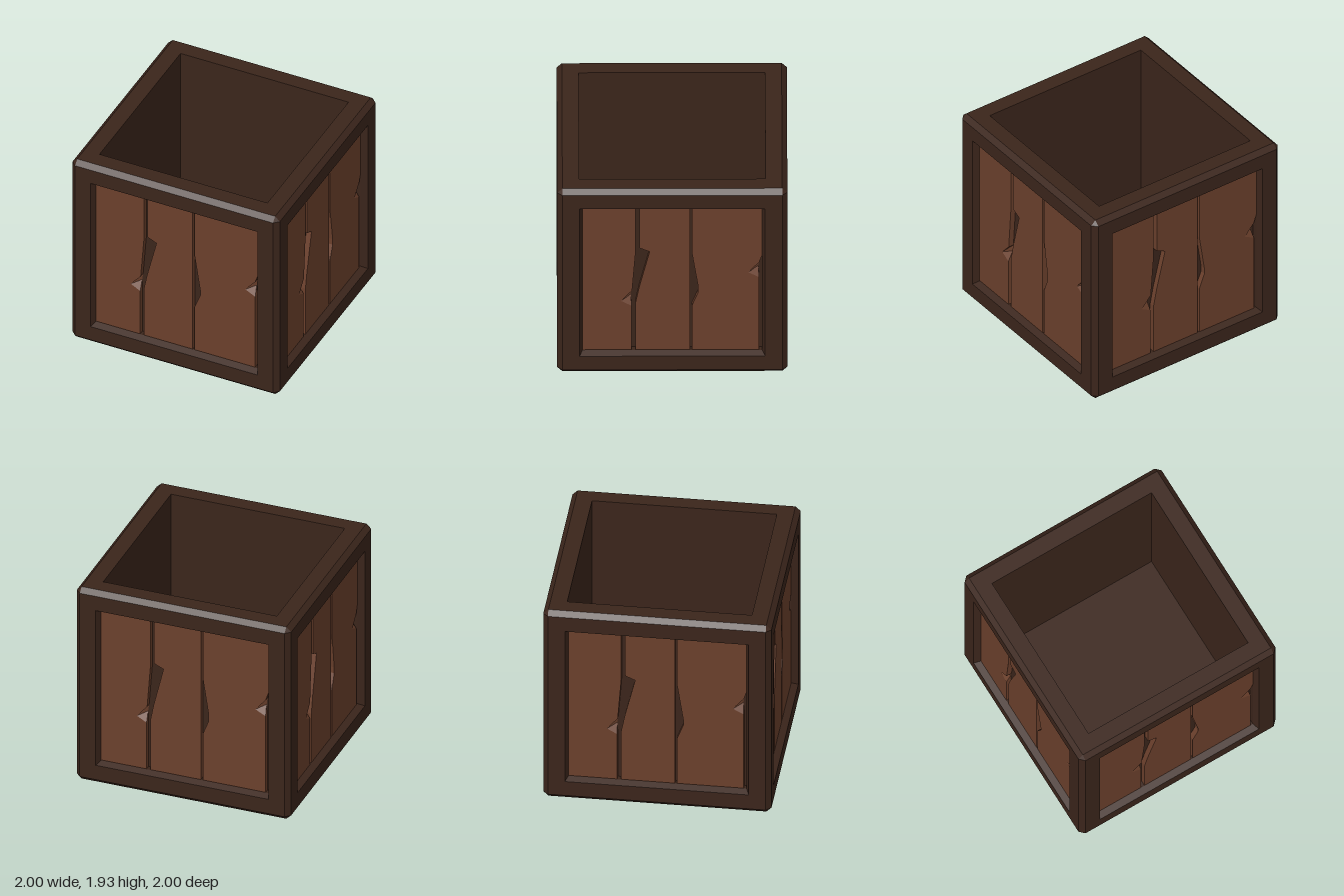
import * as THREE from 'three';

const S = 0.965;      // the crate is a cube slightly squashed in height
const C = 0.955;      // half size of a face inside the chamfers
const FRONT = 0.94;   // plank surface
const BACK = 0.89;    // backing behind the planks

const frameMat = new THREE.MeshStandardMaterial({ color: 0x3b251b, flatShading: true });
const plankMat = new THREE.MeshStandardMaterial({ color: 0x6b402c, flatShading: true });

function mesh(name, geometry, material) {
  const m = new THREE.Mesh(geometry, material);
  m.name = name;
  return m;
}

// Square rings (half size, height) joined into a surface facing +y
function squareRings(rings) {
  const points = rings.map(([half, y]) => new THREE.Vector2(half * Math.SQRT2, y));
  const g = new THREE.LatheGeometry(points, 4, Math.PI / 4).toNonIndexed();
  g.computeVertexNormals();
  return g;
}

// Plank outlines, counterclockwise; a splintered notch slopes from tip to root
const planks = [
  {
    outline: [[-0.785, 0.215], [-0.355, 0.215], [-0.355, 0.68], [-0.445, 0.73], [-0.35, 0.84],
      [-0.32, 1.24], [-0.32, 1.715], [-0.785, 1.715]],
    tip: [-0.445, 0.73], root: [-0.36, 0.77],
  },
  {
    outline: [[-0.32, 0.215], [0.152, 0.215], [0.152, 1.715], [-0.285, 1.715], [-0.285, 1.29],
      [-0.197, 1.25], [-0.287, 0.88], [-0.32, 0.71]],
  },
  {
    outline: [[0.17, 0.215], [0.755, 0.215], [0.755, 0.98], [0.66, 1.03], [0.755, 1.14],
      [0.782, 1.22], [0.782, 1.715], [0.17, 1.715], [0.17, 1.24], [0.225, 0.88], [0.225, 0.82], [0.17, 0.68]],
    tip: [0.66, 1.03], root: [0.745, 1.07],
  },
];

function plankGeometry({ outline, tip, root }) {
  const toPanel = ([x, y]) => new THREE.Vector2(x, (y - S) / S);
  const g = new THREE.ExtrudeGeometry(new THREE.Shape(outline.map(toPanel)), {
    depth: FRONT - BACK, bevelEnabled: false,
  });
  if (tip) {
    const t = toPanel(tip), r = toPanel(root), p = g.attributes.position;
    for (let i = 0; i < p.count; i++) {
      if (p.getZ(i) < 0.001 && Math.hypot(p.getX(i) - t.x, p.getY(i) - t.y) < 0.001) p.setXY(i, r.x, r.y);
    }
    g.computeVertexNormals();
  }
  return g.translate(0, 0, BACK);
}

export function createModel() {
  const root = new THREE.Group();
  root.name = 'openCrate';
  const cube = new THREE.Group();
  cube.name = 'crateBody';
  cube.scale.y = S;
  cube.position.y = S;
  root.add(cube);

  // Four sides and the bottom: bevelled frame, backing and three planks
  const frameGeo = squareRings([[C, 1], [0.806, 1], [0.781, FRONT], [0.781, BACK], [0, BACK]]);
  frameGeo.rotateX(Math.PI / 2);
  const plankGeos = planks.map(plankGeometry);
  ['front', 'left', 'back', 'right', 'bottom'].forEach((name, k) => {
    const panel = new THREE.Group();
    panel.name = name + 'Panel';
    panel.add(mesh(name + 'Frame', frameGeo, frameMat));
    plankGeos.forEach((g, i) => panel.add(mesh(name + 'Plank' + (i + 1), g, plankMat)));
    panel.rotation.order = 'YXZ';
    if (name === 'bottom') panel.rotation.set(Math.PI / 2, Math.PI, 0);
    else panel.rotation.y = k * Math.PI / 2;
    cube.add(panel);
  });

  // Top rim, inner walls and floor
  cube.add(mesh('rimAndInterior', squareRings([[C, 1], [0.81, 1], [0.81, -0.81], [0, -0.81]]), frameMat));

  // Chamfered edges and corners
  const mid = (1 + C) / 2;
  const edgeGeo = new THREE.PlaneGeometry(2 * C, (1 - C) * Math.SQRT2);
  edgeGeo.rotateX(-Math.PI / 4).translate(0, mid, mid);
  const uprightGeo = edgeGeo.clone().rotateZ(Math.PI / 2);
  const cornerGeo = new THREE.BufferGeometry();
  cornerGeo.setAttribute('position', new THREE.Float32BufferAttribute([1, C, C, C, 1, C, C, C, 1], 3));
  cornerGeo.computeVertexNormals();
  for (let k = 0; k < 4; k++) {
    const turn = k * Math.PI / 2;
    const upright = mesh('uprightChamfer', uprightGeo, frameMat);
    upright.rotation.y = turn;
    cube.add(upright);
    for (const flip of [0, Math.PI]) {
      for (const [name, g] of [['edgeChamfer', edgeGeo], ['cornerChamfer', cornerGeo]]) {
        const m = mesh(name, g, frameMat);
        m.rotation.set(flip, turn, 0);
        cube.add(m);
      }
    }
  }
  return root;
}
